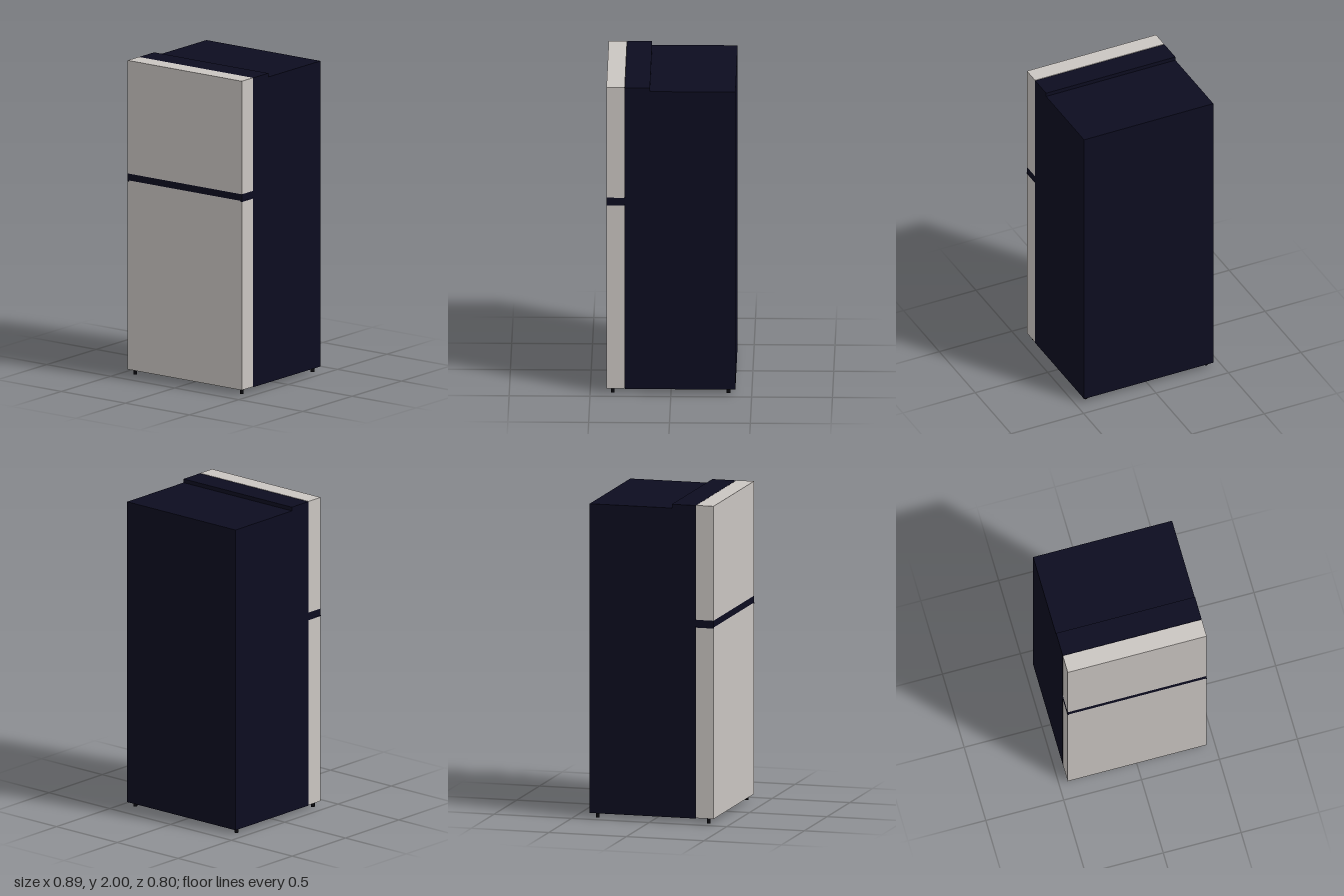
import * as THREE from 'three';

const navy = new THREE.MeshStandardMaterial({ name: 'darkNavy', color: 0x0c0c20 });
const grey = new THREE.MeshStandardMaterial({ name: 'warmGrey', color: 0xcac5c1 });
const black = new THREE.MeshStandardMaterial({ name: 'black', color: 0x07070d });

export function createModel() {
  const group = new THREE.Group();
  group.name = 'refrigerator';

  // Box given by its lower and upper corners
  const box = (name, material, [x0, y0, z0], [x1, y1, z1]) => {
    const mesh = new THREE.Mesh(new THREE.BoxGeometry(x1 - x0, y1 - y0, z1 - z0), material);
    mesh.position.set((x0 + x1) / 2, (y0 + y1) / 2, (z0 + z1) / 2);
    mesh.name = name;
    group.add(mesh);
  };

  const w = 0.446, front = 0.399, back = -0.399, seam = 0.286;

  // Cabinet with the raised hinge cover behind the upper door
  box('cabinet', navy, [-w, 0.03, back], [w, 1.975, seam - 0.003]);
  box('hingeCover', navy, [-w, 1.975, 0.13], [w, 1.999, seam - 0.003]);

  // Doors, each with a thin gasket sealing it to the cabinet
  const doors = [['lowerDoor', 0.033, 1.237], ['upperDoor', 1.28, 2]];
  for (const [name, y0, y1] of doors) {
    box(name, grey, [-w, y0, seam], [w, y1, front]);
    box(name + 'Gasket', black, [-w + 0.004, y0 + 0.004, seam - 0.003], [w - 0.004, y1 - 0.004, seam]);
  }

  // Recessed-grip band between the doors
  box('gripBand', navy, [-w, 1.237, seam - 0.003], [w, 1.28, front]);

  // Small drop of the band at both door corners
  for (const s of [-1, 1]) {
    const x = s * (w - 0.004);
    box('bandEnd', navy, [x - 0.005, 1.231, seam], [x + 0.005, 1.237, front + 0.001]);
  }

  // Levelling feet
  const footGeometry = new THREE.CylinderGeometry(0.012, 0.012, 0.034, 16);
  for (const x of [-0.416, 0.416]) {
    for (const z of [0.36, -0.356]) {
      const foot = new THREE.Mesh(footGeometry, black);
      foot.position.set(x, 0.017, z);
      foot.name = 'foot';
      group.add(foot);
    }
  }
  return group;
}
